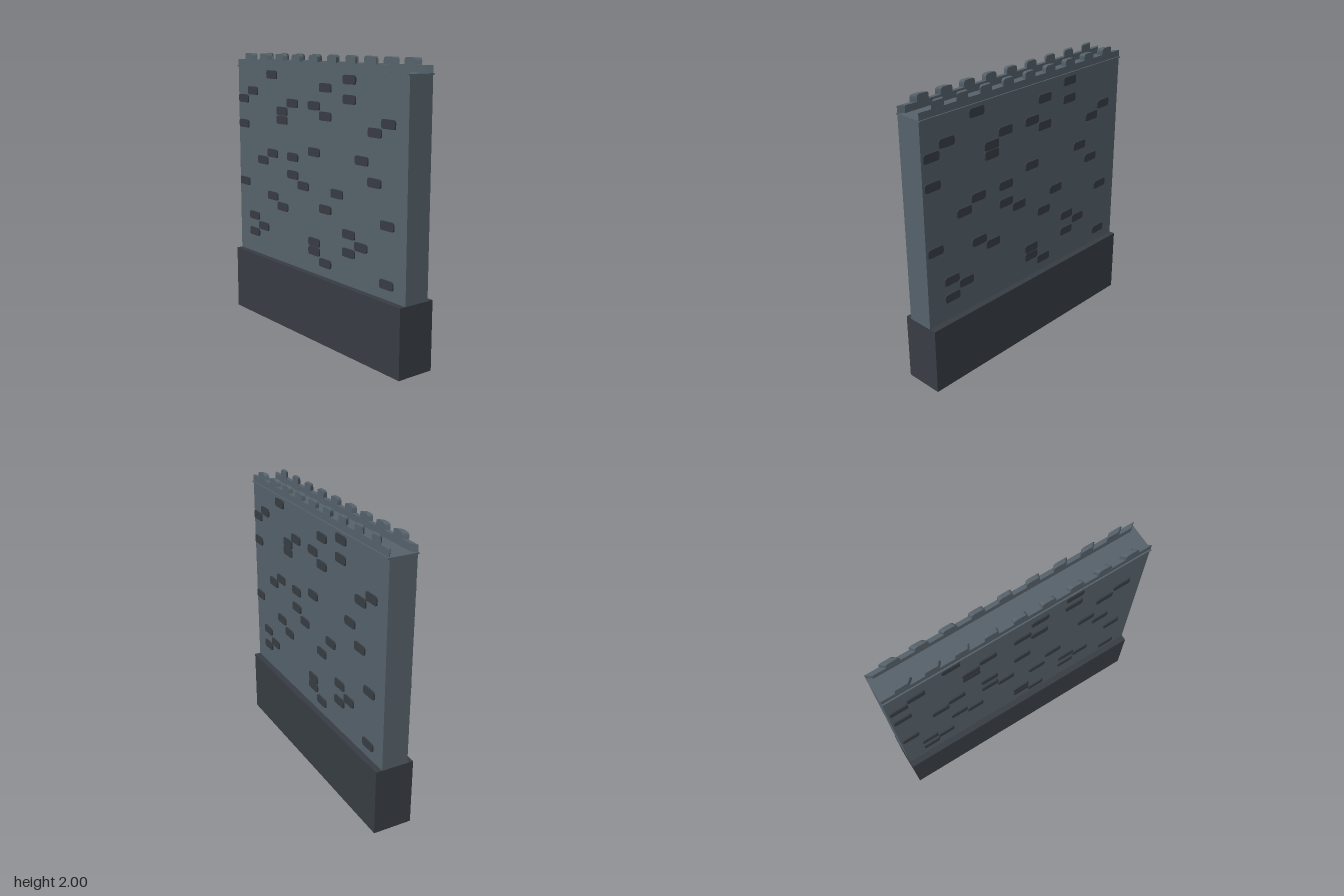
import * as THREE from 'three';

const HALF = 0.95;

// Flat plate with rounded corners, centred on the origin
function brickGeometry(w, h, r, depth) {
  const x = w / 2, y = h / 2, s = new THREE.Shape();
  s.moveTo(-x + r, -y);
  s.lineTo(x - r, -y).quadraticCurveTo(x, -y, x, -y + r);
  s.lineTo(x, y - r).quadraticCurveTo(x, y, x - r, y);
  s.lineTo(-x + r, y).quadraticCurveTo(-x, y, -x, y - r);
  s.lineTo(-x, -y + r).quadraticCurveTo(-x, -y, -x + r, -y);
  return new THREE.ExtrudeGeometry(s, { depth, bevelEnabled: false, curveSegments: 4 });
}

// Rail with nine merlons; the inner face is narrowed so the gaps fan outwards
function parapetGeometry() {
  const base = 1.905, rail = 1.955, top = 2, r = 0.022, half = 0.0485;
  const s = new THREE.Shape();
  s.moveTo(-HALF, base);
  s.lineTo(HALF, base);
  s.lineTo(HALF, rail);
  for (let i = 4; i >= -4; i--) {
    const c = i * 0.201;
    s.lineTo(c + half, rail);
    s.lineTo(c + half, top - r).quadraticCurveTo(c + half, top, c + half - r, top);
    s.lineTo(c - half + r, top).quadraticCurveTo(c - half, top, c - half, top - r);
    s.lineTo(c - half, rail);
  }
  s.lineTo(-HALF, rail);
  const g = new THREE.ExtrudeGeometry(s, { depth: 0.028, bevelEnabled: false, curveSegments: 4 });
  const p = g.attributes.position;
  for (let i = 0; i < p.count; i++) if (p.getZ(i) < 0.01) p.setX(i, p.getX(i) * 0.96);
  g.translate(0, 0, 0.068);
  g.computeVertexNormals();
  return g;
}

export function createModel() {
  const stone = new THREE.MeshStandardMaterial({ color: 0x56626b });
  stone.name = 'slate stone';
  const dark = new THREE.MeshStandardMaterial({ color: 0x383d44 });
  dark.name = 'dark stone';

  const model = new THREE.Group();
  model.name = 'castleWall';
  const add = (parent, name, geometry, material, x = 0, y = 0, z = 0) => {
    const m = new THREE.Mesh(geometry, material);
    m.name = name;
    m.position.set(x, y, z);
    parent.add(m);
  };
  const box = (name, w, y0, y1, d, material) =>
    add(model, name, new THREE.BoxGeometry(w, y1 - y0, d), material, 0, (y0 + y1) / 2, 0);

  box('plinth', HALF * 2, 0, 0.477, 0.28, dark);
  box('wallBody', HALF * 2, 0.477, 1.9, 0.19, stone);
  box('walkway', HALF * 2, 1.898, 1.908, 0.21, stone);

  // Brick columns in each course, from the top course down
  const courses = [
    [3, 10], [8], [1, 10], [0, 5, 7], [4, 8, 13], [4, 12], [0], [], [7, 11], [3, 5], [2, 12],
    [5], [6, 9], [0], [3, 8, 13], [4], [10], [1, 11], [2, 7, 10], [1, 7], [8, 13],
  ];
  const brick = brickGeometry(0.126, 0.06, 0.018, 0.012);
  const parapet = parapetGeometry();

  // The two faces are the same, turned half a circle
  for (const face of ['front', 'back']) {
    const side = new THREE.Group();
    side.name = face + 'Face';
    if (face === 'back') side.rotation.y = Math.PI;
    add(side, face + 'Parapet', parapet, stone);
    courses.forEach((cols, row) => cols.forEach((col) =>
      add(side, face + 'Brick', brick, dark, -0.874 + col * 0.1268, 1.852 - row * 0.0637, 0.093)));
    model.add(side);
  }
  return model;
}
